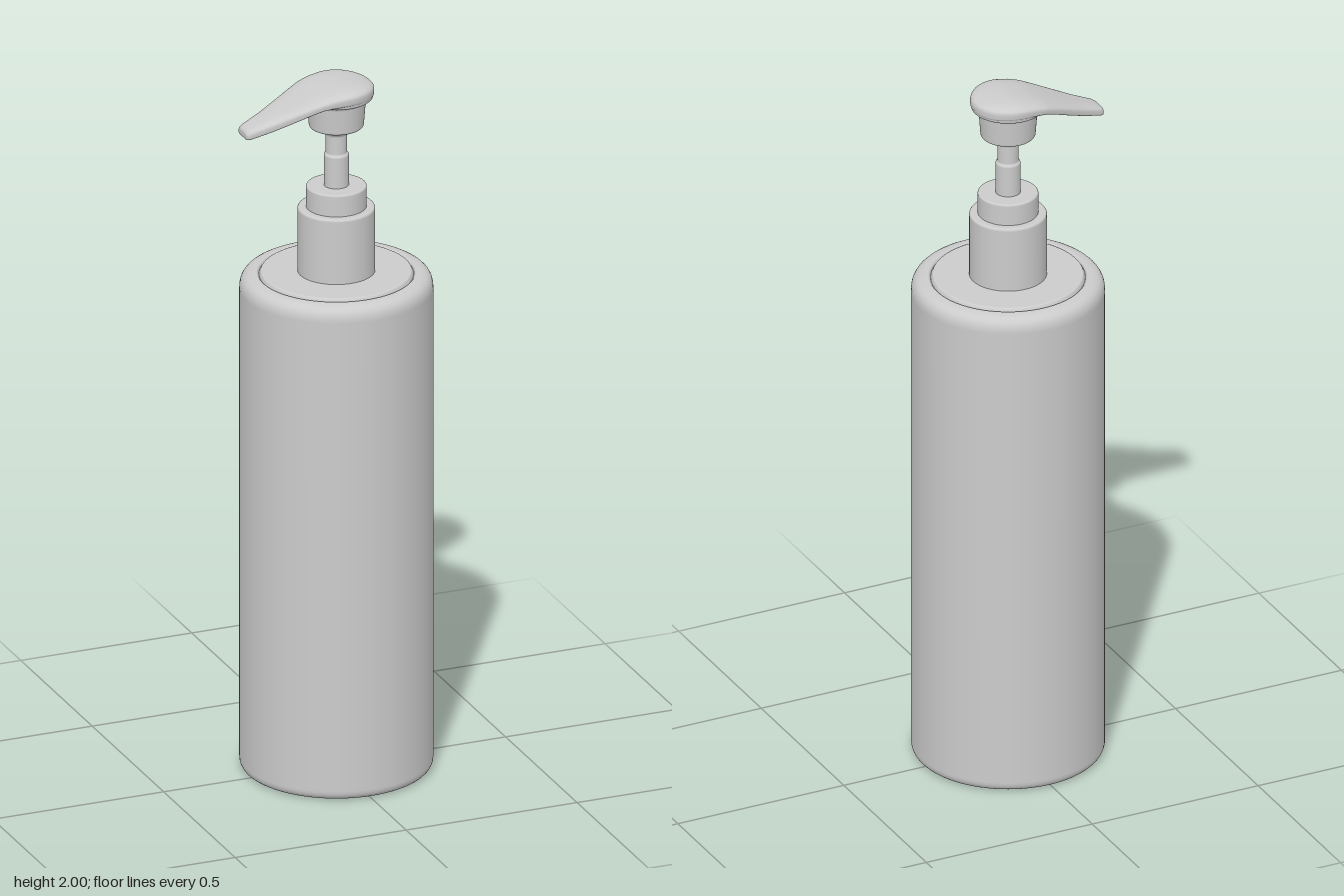
import * as THREE from 'three';

const AXIS_X = 0.005;
const material = new THREE.MeshStandardMaterial({ color: 0xcccccc, side: THREE.DoubleSide });

// Turned part from [radius, height, rounding] corners, listed bottom to top
function turned(name, corners, segments = 64) {
  const pts = [];
  const vec = corners.map(([r, y]) => new THREE.Vector2(r, y));
  corners.forEach(([, , round], i) => {
    const p = vec[i];
    if (!round) return pts.push(p);
    const toward = (q) => p.clone().add(q.clone().sub(p).setLength(round));
    const curve = new THREE.QuadraticBezierCurve(toward(vec[i - 1]), p, toward(vec[i + 1]));
    pts.push(...curve.getPoints(7));
  });
  const mesh = new THREE.Mesh(new THREE.LatheGeometry(pts, segments), material);
  mesh.name = name;
  mesh.position.x = AXIS_X;
  return mesh;
}

// Linear lookup in a list of [x, value, value...] rows
function lookup(rows, x, col) {
  let i = 1;
  while (i < rows.length - 1 && rows[i][0] < x) i++;
  const a = rows[i - 1], b = rows[i];
  return THREE.MathUtils.lerp(a[col], b[col], THREE.MathUtils.clamp((x - a[0]) / (b[0] - a[0]), 0, 1));
}

// Pump head and spout: superellipse sections swept along x
function headGeometry() {
  // x, half width, top, underside
  const rows = [
    [-0.27, 0.026, 1.894, 1.879], [-0.267, 0.032, 1.899, 1.876], [-0.258, 0.036, 1.905, 1.876],
    [-0.2, 0.051, 1.928, 1.894], [-0.15, 0.067, 1.950, 1.914], [-0.1, 0.084, 1.971, 1.936],
    [-0.07, 0.094, 1.983, 1.948], [-0.04, 0.1, 1.992, 1.952], [0, 0.104, 1.999, 1.953],
    [0.03, 0.101, 2.0, 1.953], [0.06, 0.088, 1.998, 1.953], [0.08, 0.072, 1.994, 1.953],
    [0.095, 0.051, 1.989, 1.955], [0.103, 0.031, 1.984, 1.958], [0.107, 0.006, 1.976, 1.965],
  ];
  const xs = [];
  rows.slice(0, -1).forEach(([x], i) => {
    for (let k = 0; k < 3; k++) xs.push(THREE.MathUtils.lerp(x, rows[i + 1][0], k / 3));
  });
  xs.push(0.107);
  const N = 48, pos = [], index = [];
  const power = (v, e) => Math.sign(v) * Math.abs(v) ** e;
  for (const x of xs) {
    // Round palm end follows a true circle
    const w = x > 0 ? Math.sqrt(Math.max(0.104 ** 2 - (x - 0.003) ** 2, 0.00002)) : lookup(rows, x, 1);
    const top = lookup(rows, x, 2), low = lookup(rows, x, 3);
    for (let j = 0; j < N; j++) {
      const a = (j / N) * Math.PI * 2;
      const s = Math.sin(a);
      pos.push(x, (top + low) / 2 + power(s, s > 0 ? 0.75 : 0.4) * (top - low) / 2, power(Math.cos(a), 0.6) * w);
    }
  }
  for (let i = 0; i < xs.length - 1; i++) {
    for (let j = 0; j < N; j++) {
      const a = i * N + j, b = i * N + (j + 1) % N;
      index.push(a, b, a + N, b, b + N, a + N);
    }
  }
  // End caps
  [0, xs.length - 1].forEach((i, end) => {
    const c = pos.length / 3;
    pos.push(xs[i], (lookup(rows, xs[i], 2) + lookup(rows, xs[i], 3)) / 2, 0);
    for (let j = 0; j < N; j++) {
      const a = i * N + j, b = i * N + (j + 1) % N;
      index.push(c, ...(end ? [a, b] : [b, a]));
    }
  });
  // Wind every face outward
  for (let k = 0; k < index.length; k += 3) [index[k + 1], index[k + 2]] = [index[k + 2], index[k + 1]];
  const g = new THREE.BufferGeometry();
  g.setAttribute('position', new THREE.Float32BufferAttribute(pos, 3));
  g.setIndex(index);
  g.computeVertexNormals();
  return g;
}

export function createModel() {
  const model = new THREE.Group();
  model.name = 'pumpBottle';

  // Bottle with rounded shoulder, shallow groove and raised top panel
  model.add(turned('bottle', [
    [0, 0], [0.262, 0, 0.028], [0.262, 1.44, 0.045], [0.214, 1.44, 0.003],
    [0.209, 1.433, 0.003], [0.203, 1.445, 0.004], [0, 1.445],
  ], 96));

  // Screw collar and the narrower step above it
  model.add(turned('collar', [
    [0.09, 1.44], [0.105, 1.442, 0.003], [0.105, 1.633, 0.008], [0.07, 1.633],
  ]));
  model.add(turned('collarStep', [
    [0.082, 1.625], [0.082, 1.695, 0.006], [0.03, 1.695],
  ]));

  // Plunger stem with its wider upper sleeve
  model.add(turned('stem', [
    [0.034, 1.69], [0.034, 1.785, 0.003], [0.029, 1.79, 0.003],
    [0.029, 1.845, 0.004], [0.038, 1.855, 0.004], [0.038, 1.875],
  ], 40));

  // Cup under the pump head
  model.add(turned('headCup', [
    [0, 1.866], [0.074, 1.866, 0.008], [0.08, 1.945, 0.006],
    [0.099, 1.952, 0.004], [0.101, 1.966, 0.003], [0, 1.966],
  ]));

  const head = new THREE.Mesh(headGeometry(), material);
  head.name = 'headAndSpout';
  model.add(head);
  return model;
}
